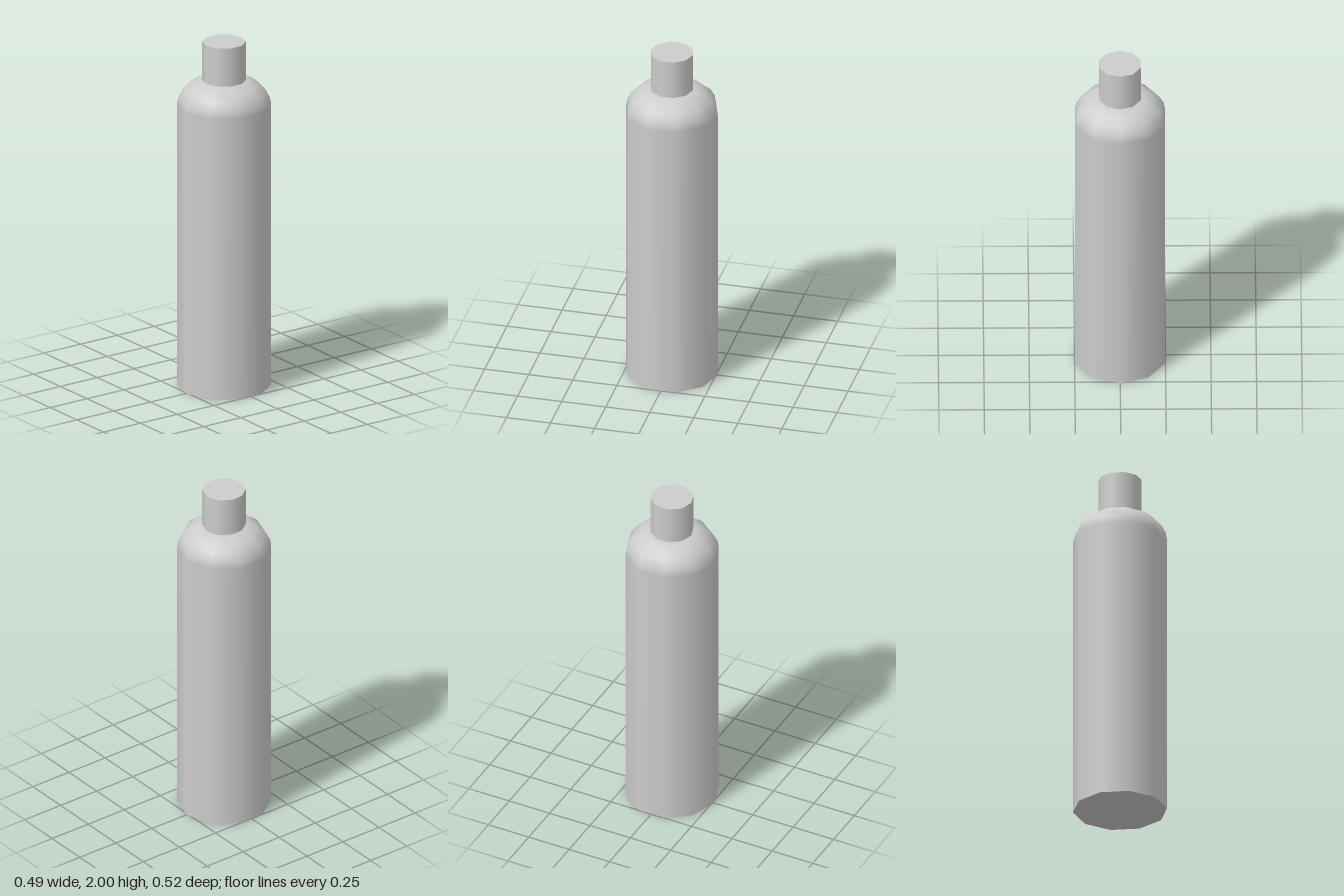
import * as THREE from 'three';

const SIDES = 10;
const BODY_RADIUS = 0.26;
const NECK_RADIUS = 0.12;
const SHOULDER_Y = 1.645;
const NECK_Y = 1.775;
const TOP_Y = 2;

export function createModel() {
  const model = new THREE.Group();
  model.name = 'bottle';

  const grey = new THREE.MeshStandardMaterial({ color: 0xcccccc });
  grey.name = 'light grey';

  const add = (name, geometry, y = 0) => {
    const mesh = new THREE.Mesh(geometry, grey);
    mesh.name = name;
    mesh.position.y = y;
    model.add(mesh);
    return mesh;
  };

  // Straight wall running smoothly into the rounded shoulder
  const profile = [
    [BODY_RADIUS, 0],
    [BODY_RADIUS, SHOULDER_Y - 0.01],
    [0.253, 1.675],
    [0.229, 1.72],
    [0.19, 1.752],
    [0.147, NECK_Y],
    [NECK_RADIUS - 0.005, NECK_Y + 0.003],
  ].map(([r, y]) => new THREE.Vector2(r, y));
  add('body', new THREE.LatheGeometry(profile, SIDES));

  // Flat underside, with a corner pointing to the front
  const base = new THREE.CircleGeometry(BODY_RADIUS, SIDES, Math.PI / 2);
  add('base', base.rotateX(Math.PI / 2));

  // Neck with a flat closed top
  const neckHeight = TOP_Y - NECK_Y;
  const neck = new THREE.CylinderGeometry(NECK_RADIUS, NECK_RADIUS, neckHeight, SIDES);
  add('neck', neck, NECK_Y + neckHeight / 2);

  return model;
}
